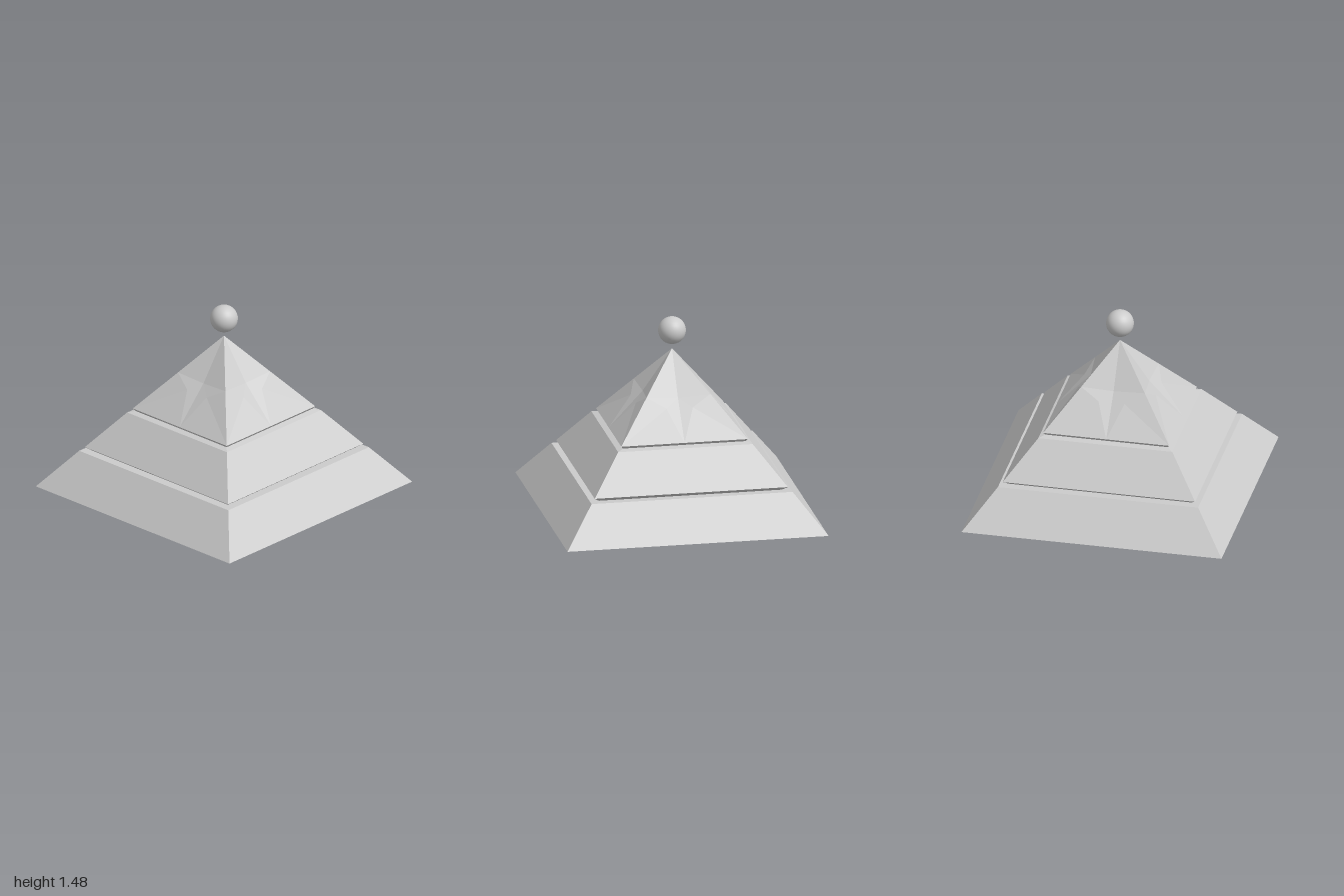
import * as THREE from 'three';

const material = new THREE.MeshStandardMaterial({ color: 0xcccccc, flatShading: true });
const smooth = new THREE.MeshStandardMaterial({ color: 0xcccccc });

// Square solid from a profile of [half width, height], bottom to top
function squareLathe(name, profile) {
  const points = profile.map(([half, y]) => new THREE.Vector2(half * Math.SQRT2, y));
  const mesh = new THREE.Mesh(new THREE.LatheGeometry(points, 4, Math.PI / 4), material);
  mesh.name = name;
  return mesh;
}

// One faceted side of the cap, with a shallow dent in its middle
function capSide() {
  const half = 0.485, base = 0.635, top = 1.23;
  const halfAt = (y) => half * (top - y) / (top - base);
  const apex = [0, top, 0];
  const corner = [half, base, half];
  const middle = [0, base, half];
  const edge = [halfAt(0.93), 0.93, halfAt(0.93)];
  const shoulder = [0.1, 0.85, 0.297];
  const centre = [0, 0.91, 0.225];
  const triangles = [
    [apex, centre, edge],
    [centre, shoulder, edge],
    [edge, shoulder, corner],
    [shoulder, middle, corner],
    [centre, middle, shoulder],
  ];
  const positions = [];
  for (const [a, b, c] of triangles) {
    positions.push(...a, ...b, ...c);
    // mirrored half, with the corner order reversed
    for (const [x, y, z] of [a, c, b]) positions.push(-x, y, z);
  }
  const geometry = new THREE.BufferGeometry();
  geometry.setAttribute('position', new THREE.Float32BufferAttribute(positions, 3));
  geometry.computeVertexNormals();
  return geometry;
}

export function createModel() {
  const model = new THREE.Group();
  model.name = 'steppedPyramid';

  // Lower tiers, each ending in a shelf and an undercut groove
  model.add(squareLathe('baseTier', [[0, 0], [1, 0], [0.77, 0.29], [0.7, 0.29]]));
  model.add(squareLathe('middleTier', [[0.7, 0.29], [0.74, 0.32], [0.515, 0.603], [0.47, 0.615]]));
  model.add(squareLathe('capUnderside', [[0.47, 0.615], [0.485, 0.635]]));

  // Pointed cap
  const cap = new THREE.Group();
  cap.name = 'cap';
  const side = capSide();
  for (let i = 0; i < 4; i++) {
    const mesh = new THREE.Mesh(side, material);
    mesh.name = 'capSide';
    mesh.rotation.y = i * Math.PI / 2;
    cap.add(mesh);
  }
  model.add(cap);

  // Ball floating over the tip
  const ball = new THREE.Mesh(new THREE.SphereGeometry(0.105, 32, 16), smooth);
  ball.name = 'floatingBall';
  ball.position.y = 1.373;
  model.add(ball);

  return model;
}
